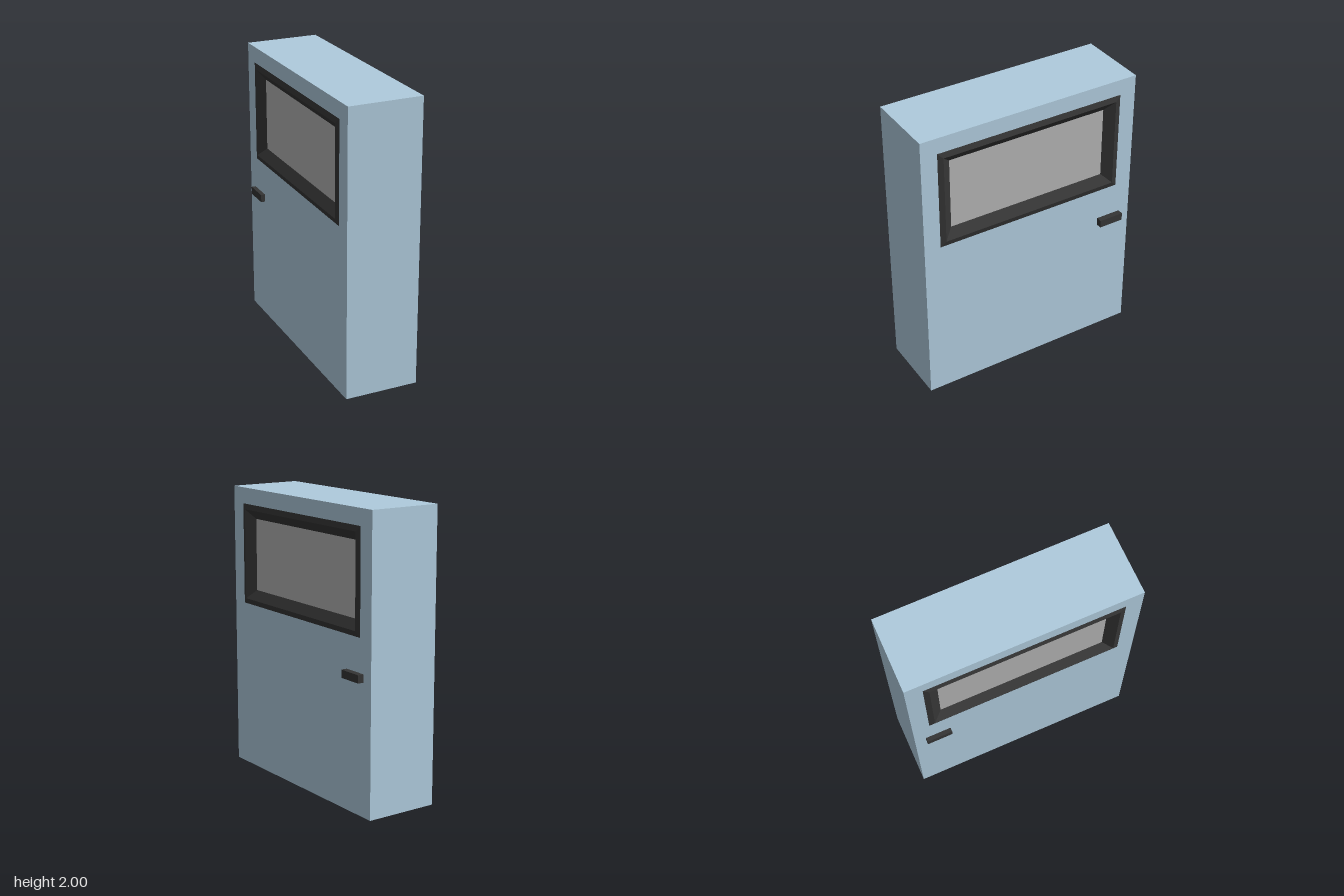
import * as THREE from 'three';

const CX = -0.0075, HALF = 0.2575; // door centre plane and half thickness

const blue = new THREE.MeshStandardMaterial({ color: 0xafcbdd });
const dark = new THREE.MeshStandardMaterial({ color: 0x353535, flatShading: true });
const grey = new THREE.MeshStandardMaterial({ color: 0xb2b2b2 });

// Corners of a rectangle in the z/y plane, centred on the window
const WINDOW_Y = 1.535;
const rect = (halfZ, halfY) => [[-halfZ, -halfY], [halfZ, -halfY], [halfZ, halfY], [-halfZ, halfY]];

// Window trim: rectangular rings joined by mitred faces, facing +x
function trimGeometry(rings) {
  const pos = [];
  const point = ([halfZ, halfY, x], i) => {
    const [z, y] = rect(halfZ, halfY)[i % 4];
    return [x, y, z];
  };
  for (let r = 0; r < rings.length - 1; r++) {
    for (let i = 0; i < 4; i++) {
      const a = point(rings[r], i), b = point(rings[r], i + 1);
      const c = point(rings[r + 1], i + 1), d = point(rings[r + 1], i);
      pos.push(...a, ...c, ...b, ...a, ...d, ...c);
    }
  }
  const geo = new THREE.BufferGeometry();
  geo.setAttribute('position', new THREE.Float32BufferAttribute(pos, 3));
  geo.computeVertexNormals();
  return geo;
}

function addMesh(parent, name, geo, mat, x, y, z) {
  const mesh = new THREE.Mesh(geo, mat);
  mesh.name = name;
  mesh.position.set(x, y, z);
  parent.add(mesh);
  return mesh;
}

export function createModel() {
  const model = new THREE.Group();
  model.name = 'door';

  // Thick slab with a window opening, extruded across the thickness
  const slab = new THREE.Shape([[-0.8, 0], [0.8, 0], [0.8, 2], [-0.8, 2]].map(p => new THREE.Vector2(...p)));
  slab.holes.push(new THREE.Path(rect(0.66, 0.33).map(([z, y]) => new THREE.Vector2(z, y + WINDOW_Y))));
  const slabGeo = new THREE.ExtrudeGeometry(slab, { depth: 2 * HALF, bevelEnabled: false });
  slabGeo.translate(0, 0, -HALF).rotateY(Math.PI / 2);
  addMesh(model, 'doorPanel', slabGeo, blue, CX, 0, 0);

  // Pane set back from both faces
  addMesh(model, 'windowPane', new THREE.BoxGeometry(2 * (HALF - 0.04), 0.51, 1.165), grey, CX, WINDOW_Y, 0);

  // Raised trim sloping in to the pane, and a handle, on each face
  const trim = trimGeometry([
    [0.683, 0.353, HALF],
    [0.645, 0.315, HALF + 0.011],
    [0.58, 0.252, HALF - 0.04],
  ]);
  for (const [side, s, reach] of [['left', 1, 0.0425], ['right', -1, 0.03]]) {
    const frame = addMesh(model, side + 'WindowTrim', trim, dark, CX, WINDOW_Y, 0);
    if (s < 0) frame.rotation.y = Math.PI;
    addMesh(model, side + 'Handle', new THREE.BoxGeometry(reach, 0.054, 0.18), dark,
      CX + s * (HALF + reach / 2), 0.927, -0.632);
  }
  return model;
}
